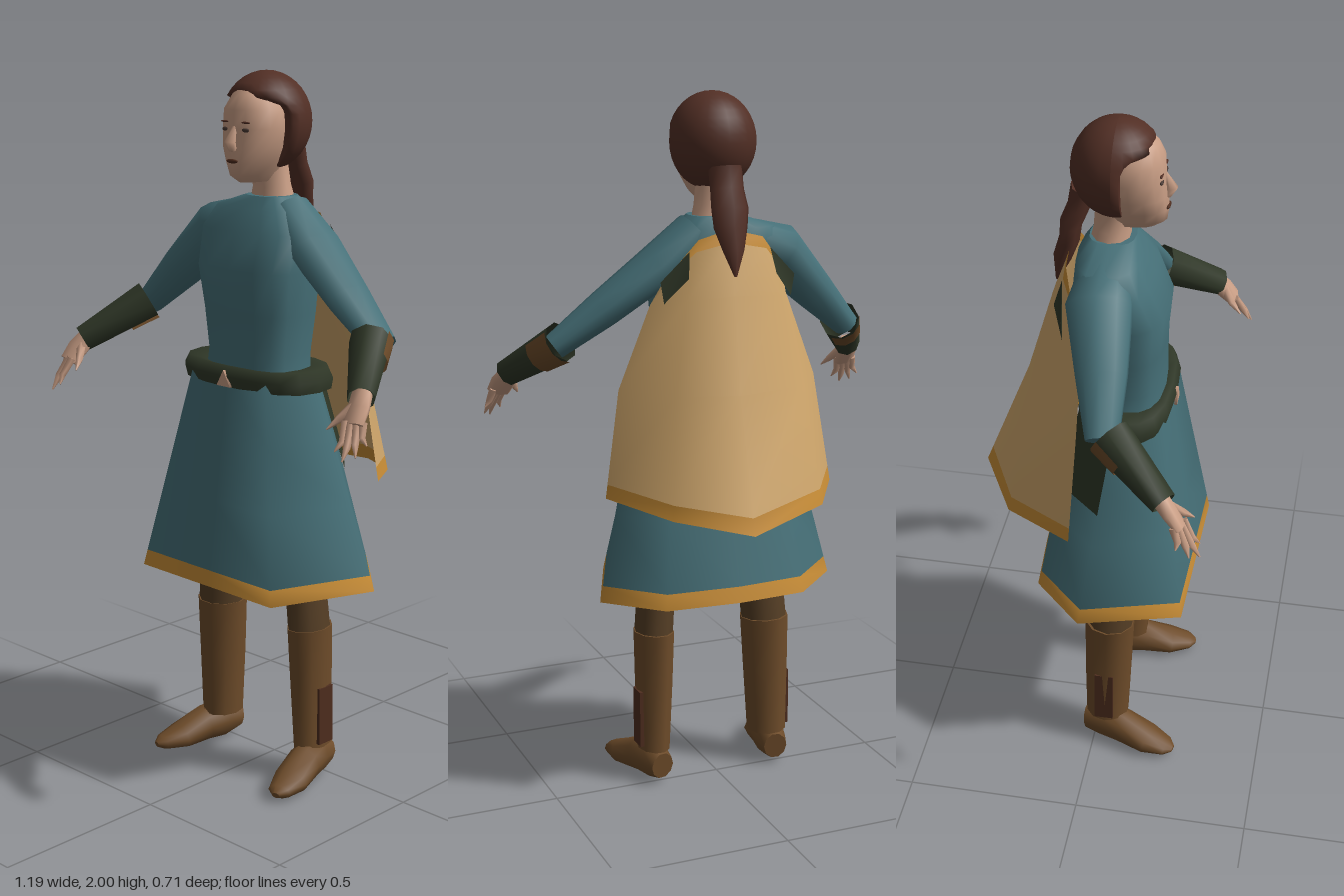
import * as THREE from 'three';

const mat = (name, color) => {
  const m = new THREE.MeshStandardMaterial({ color, side: THREE.DoubleSide });
  m.name = name;
  return m;
};
const V = (p) => new THREE.Vector3(...p);

// Skin over a list of rings (or open rows) of points
function loft(rings, closed = true, caps = false) {
  const n = rings[0].length, pos = rings.flat(2), idx = [];
  const cols = closed ? n : n - 1;
  for (let i = 0; i < rings.length - 1; i++)
    for (let j = 0; j < cols; j++) {
      const a = i * n + j, b = i * n + ((j + 1) % n);
      idx.push(a, b, b + n, a, b + n, a + n);
    }
  if (caps) [rings[0], rings[rings.length - 1]].forEach((ring, end) => {
    const start = pos.length / 3;
    ring.forEach((p) => pos.push(...p));
    for (let j = 1; j < n - 1; j++)
      idx.push(start, start + (end ? j : j + 1), start + (end ? j + 1 : j));
  });
  const g = new THREE.BufferGeometry();
  g.setAttribute('position', new THREE.Float32BufferAttribute(pos, 3));
  g.setIndex(idx);
  g.computeVertexNormals();
  return g;
}

// Elliptical limb through stations [x, y, z, width radius, depth radius]
function limb(stations, { n = 8, ref = [0, 0, 1], arc = null, caps = true } = {}) {
  const pts = stations.map((s) => V(s.slice(0, 3)));
  const rings = stations.map((st, i) => {
    const t = pts[Math.min(i + 1, pts.length - 1)].clone().sub(pts[Math.max(i - 1, 0)]).normalize();
    const s = t.clone().cross(V(ref)).normalize();
    const b = t.clone().cross(s);
    return Array.from({ length: arc ? n + 1 : n }, (_, j) => {
      const a = arc ? arc[0] + ((arc[1] - arc[0]) * j) / n : (j / n) * Math.PI * 2;
      return pts[i].clone().addScaledVector(s, Math.cos(a) * st[3])
        .addScaledVector(b, Math.sin(a) * st[4]).toArray();
    });
  });
  return loft(rings, !arc, caps && !arc);
}

// Rounded horizontal ring between x and z limits
function ring(y, x0, x1, zFront, zBack, n = 16, power = 0.75) {
  const soft = (v) => Math.sign(v) * Math.abs(v) ** power;
  return Array.from({ length: n }, (_, j) => {
    const a = (j / n) * Math.PI * 2;
    return [(x0 + x1) / 2 + ((x1 - x0) / 2) * soft(Math.cos(a)), y,
      (zFront + zBack) / 2 - ((zFront - zBack) / 2) * soft(Math.sin(a))];
  });
}

export function createModel() {
  const teal = mat('teal cloth', 0x467078), tan = mat('tan cape', 0xd0a76c);
  const gold = mat('gold trim', 0xc88d36), hairM = mat('brown hair', 0x522f25);
  const skin = mat('skin', 0xc99e85), green = mat('dark green leather', 0x2f3727);
  const brown = mat('brown leather', 0x6e4c2a), dark = mat('dark trousers', 0x553e25);
  const red = mat('red brown leather', 0x4e2d1e), eyeM = mat('eye', 0x4a3a34);
  const model = new THREE.Group();
  const add = (name, geometry, material) => {
    const m = new THREE.Mesh(geometry, material);
    m.name = name;
    model.add(m);
    return m;
  };
  const blob = (name, material, p, s) => {
    const m = add(name, new THREE.SphereGeometry(1, 10, 6), material);
    m.position.set(...p);
    m.scale.set(...s);
  };

  // Face: rows of [y, half width, front z]
  const face = [[1.705, 0.03, 0.13], [1.725, 0.045, 0.16], [1.76, 0.066, 0.165], [1.8, 0.084, 0.163],
    [1.85, 0.092, 0.157], [1.9, 0.088, 0.154], [1.94, 0.062, 0.137], [1.965, 0.03, 0.11]];
  add('face', loft(face.map(([y, w, z]) => ring(y, -w, w, z, -0.02, 16, 0.95)), true, true), skin);
  add('nose', limb([[0, 1.855, 0.15, 0.008, 0.008], [0, 1.815, 0.168, 0.014, 0.02],
    [0, 1.795, 0.158, 0.014, 0.012]], { n: 6 }), skin);
  blob('lips', red, [0, 1.765, 0.163], [0.022, 0.006, 0.006]);
  for (const s of [-1, 1]) {
    blob('eye', eyeM, [s * 0.036, 1.848, 0.149], [0.015, 0.006, 0.005]);
    blob('eyebrow', hairM, [s * 0.037, 1.868, 0.149], [0.018, 0.003, 0.004]);
  }
  add('neck', limb([[0, 1.75, 0.02, 0.052, 0.05], [0.005, 1.69, 0.015, 0.055, 0.05],
    [0.005, 1.62, 0.01, 0.075, 0.06]], { n: 10 }), skin);

  // Hair cap, pulled back from the face below the hairline
  const cap = new THREE.SphereGeometry(1, 24, 18);
  const p = cap.attributes.position;
  for (let i = 0; i < p.count; i++) {
    const y = 1.865 + p.getY(i) * 0.135;
    const limit = 0.05 + 0.12 * THREE.MathUtils.smoothstep(y, 1.9, 1.96);
    p.setXYZ(i, p.getX(i) * 0.123, y, Math.min(0.03 + p.getZ(i) * 0.125, limit));
  }
  cap.computeVertexNormals();
  add('hair', cap, hairM);
  add('ponytail', limb([[0, 1.8, -0.06, 0.05, 0.035], [0, 1.74, -0.075, 0.05, 0.03],
    [0, 1.69, -0.095, 0.055, 0.03], [0, 1.64, -0.1, 0.05, 0.028], [0, 1.58, -0.12, 0.032, 0.025],
    [0, 1.51, -0.135, 0.004, 0.004]]), hairM);

  // Tunic body, with uneven shoulders
  add('tunic', loft([ring(1.17, -0.16, 0.16, 0.17, -0.04), ring(1.24, -0.15, 0.155, 0.167, -0.045),
    ring(1.35, -0.17, 0.165, 0.168, -0.06), ring(1.47, -0.19, 0.175, 0.178, -0.07),
    ring(1.57, -0.21, 0.17, 0.138, -0.075), ring(1.63, -0.17, 0.12, 0.105, -0.07),
    ring(1.665, -0.06, 0.075, 0.08, -0.045)], true, true), teal);
  add('sleeve', limb([[-0.1, 1.59, 0.01, 0.06, 0.07], [-0.19, 1.555, 0.015, 0.08, 0.09],
    [-0.32, 1.43, 0.045, 0.06, 0.07], [-0.44, 1.315, 0.068, 0.038, 0.045]], { n: 10 }), teal);
  add('sleeve', limb([[0.06, 1.62, 0.01, 0.06, 0.07], [0.17, 1.53, 0.015, 0.058, 0.088],
    [0.32, 1.415, 0.045, 0.05, 0.07], [0.455, 1.315, 0.07, 0.036, 0.047]], { n: 10 }), teal);

  // Forearms and hands
  for (const s of [-1, 1]) {
    const elbow = [s * 0.43, 1.325, 0.085], wrist = [s * 0.54, 1.215, 0.245];
    add('bracer', limb([[...elbow, 0.058, 0.058], [...wrist, 0.04, 0.036]], { caps: false }), green);
    add('elbowGuard', limb([[...elbow, 0.062, 0.062], [s * 0.472, 1.283, 0.146, 0.055, 0.054]],
      { n: 4, arc: [Math.PI * 0.2, Math.PI * 0.9] }), brown);
    add('palm', limb([[s * 0.53, 1.225, 0.23, 0.028, 0.026], [s * 0.545, 1.19, 0.262, 0.036, 0.022],
      [s * 0.553, 1.155, 0.29, 0.034, 0.016]]), skin);
    const tips = [[0.595, 1.11, 0.285], [0.588, 1.085, 0.32], [0.565, 1.075, 0.345], [0.535, 1.095, 0.34]];
    tips.forEach(([x, y, z], i) => add('finger', limb([
      [s * (0.572 - i * 0.013), 1.165, 0.275 + i * 0.007, 0.012, 0.012],
      [s * (x * 0.6 + 0.224), y * 0.6 + 0.462, z * 0.6 + 0.118, 0.01, 0.01],
      [s * x, y, z, 0.002, 0.002]], { n: 5 }), skin));
    add('thumb', limb([[s * 0.53, 1.2, 0.26, 0.014, 0.014], [s * 0.505, 1.165, 0.29, 0.011, 0.011],
      [s * 0.488, 1.14, 0.318, 0.002, 0.002]], { n: 5 }), skin);
  }

  // Flared skirt between waist and hem outlines [x, z]
  const waist = [[0.14, 0.18], [0.215, 0.06], [0.14, -0.03], [0, -0.05], [-0.14, -0.03],
    [-0.215, 0.06], [-0.14, 0.18], [0, 0.185]];
  const hem = [[0.25, 0.275], [0.365, -0.02], [0.22, -0.165], [0, -0.18], [-0.2, -0.165],
    [-0.35, -0.02], [-0.27, 0.265], [0, 0.27]];
  const skirtRow = (t, grow = 1) => waist.map(([x, z], i) => [
    THREE.MathUtils.lerp(x, hem[i][0], t) * grow, 1.19 - 0.6 * t,
    (THREE.MathUtils.lerp(z, hem[i][1], t) - 0.04) * grow + 0.04]);
  add('skirt', loft([0, 0.3, 0.6, 0.925].map((t) => skirtRow(t))), teal);
  add('skirtTrim', loft([skirtRow(0.925), skirtRow(1)]), gold);
  add('backSash', loft([0.03, 0.2, 0.42].map((t) => skirtRow(t, 1.05).slice(1, 6)), false), green);

  // Belt and buckle
  add('belt', loft([ring(1.15, -0.235, 0.235, 0.193, -0.06), ring(1.18, -0.24, 0.24, 0.2, -0.065),
    ring(1.21, -0.225, 0.225, 0.188, -0.055), ring(1.2, -0.15, 0.15, 0.16, -0.03)]), green);
  const buckle = add('buckle', new THREE.CylinderGeometry(0.03, 0.03, 0.008, 3), skin);
  buckle.rotation.set(Math.PI / 2, Math.PI, 0);
  buckle.position.set(0, 1.168, 0.199);

  // Cape: rows from collar to hem
  const cape = [
    [[-0.17, 1.53, -0.06], [-0.1, 1.61, -0.09], [0, 1.635, -0.095], [0.09, 1.61, -0.09], [0.18, 1.5, -0.06]],
    [[-0.2, 1.44, -0.03], [-0.14, 1.45, -0.125], [0.01, 1.46, -0.15], [0.14, 1.45, -0.125], [0.21, 1.43, -0.03]],
    [[-0.29, 1.2, -0.03], [-0.19, 1.2, -0.175], [0.025, 1.2, -0.225], [0.19, 1.2, -0.17], [0.305, 1.2, -0.03]],
    [[-0.34, 0.88, -0.045], [-0.22, 0.87, -0.24], [0.04, 0.842, -0.362], [0.225, 0.87, -0.235], [0.352, 0.9, -0.045]],
  ];
  const blend = (a, b, t) => a.map((q, i) => V(q).lerp(V(b[i]), t).toArray());
  const collarEnd = blend(cape[0], cape[1], 0.2), trimStart = blend(cape[2], cape[3], 0.87);
  add('capeCollar', loft([cape[0], collarEnd], false), gold);
  add('cape', loft([collarEnd, cape[1], cape[2], trimStart], false), tan);
  add('capeTrim', loft([trimStart, cape[3]], false), gold);
  // Leather shoulder tabs holding the cape
  for (const s of [-1, 1])
    add('capeTab', loft([[[s * 0.12, 1.58, -0.097], [s * 0.2, 1.5, -0.085]],
      [[s * 0.13, 1.51, -0.118], [s * 0.19, 1.44, -0.085]]], false), green);

  // Legs and boots
  for (const s of [-1, 1]) {
    const dx = s < 0 ? 0.008 : 0, wide = s < 0 ? 1.25 : 1;
    const leg = (y, x, z, a, b) => [s * (x - dx), y, z, a * wide, b];
    add('trouserLeg', limb([leg(0.74, 0.155, 0.05, 0.04, 0.045), leg(0.6, 0.168, 0.05, 0.055, 0.063),
      leg(0.45, 0.18, 0.045, 0.055, 0.068)], { n: 10 }), dark);
    add('bootShaft', limb([leg(0.46, 0.18, 0.043, 0.058, 0.073), leg(0.3, 0.183, 0.04, 0.053, 0.07),
      leg(0.1, 0.187, 0.038, 0.046, 0.064)], { n: 10 }), brown);
    add('bootFoot', limb([[s * 0.182, 0.06, -0.025, 0.035, 0.04], [s * 0.19, 0.065, 0.03, 0.047, 0.058],
      [s * 0.205, 0.06, 0.09, 0.05, 0.053], [s * 0.225, 0.038, 0.17, 0.054, 0.036],
      [s * 0.24, 0.03, 0.23, 0.035, 0.02], [s * 0.245, 0.027, 0.25, 0.012, 0.008]],
      { n: 10, ref: [0, 1, 0] }), brown);
    // Side guard on the outer ankle
    const guard = add('bootGuard', new THREE.BoxGeometry(0.012, 0.17, 0.055), red);
    guard.position.set(s * 0.232, 0.2, 0.035);
  }
  return model;
}
